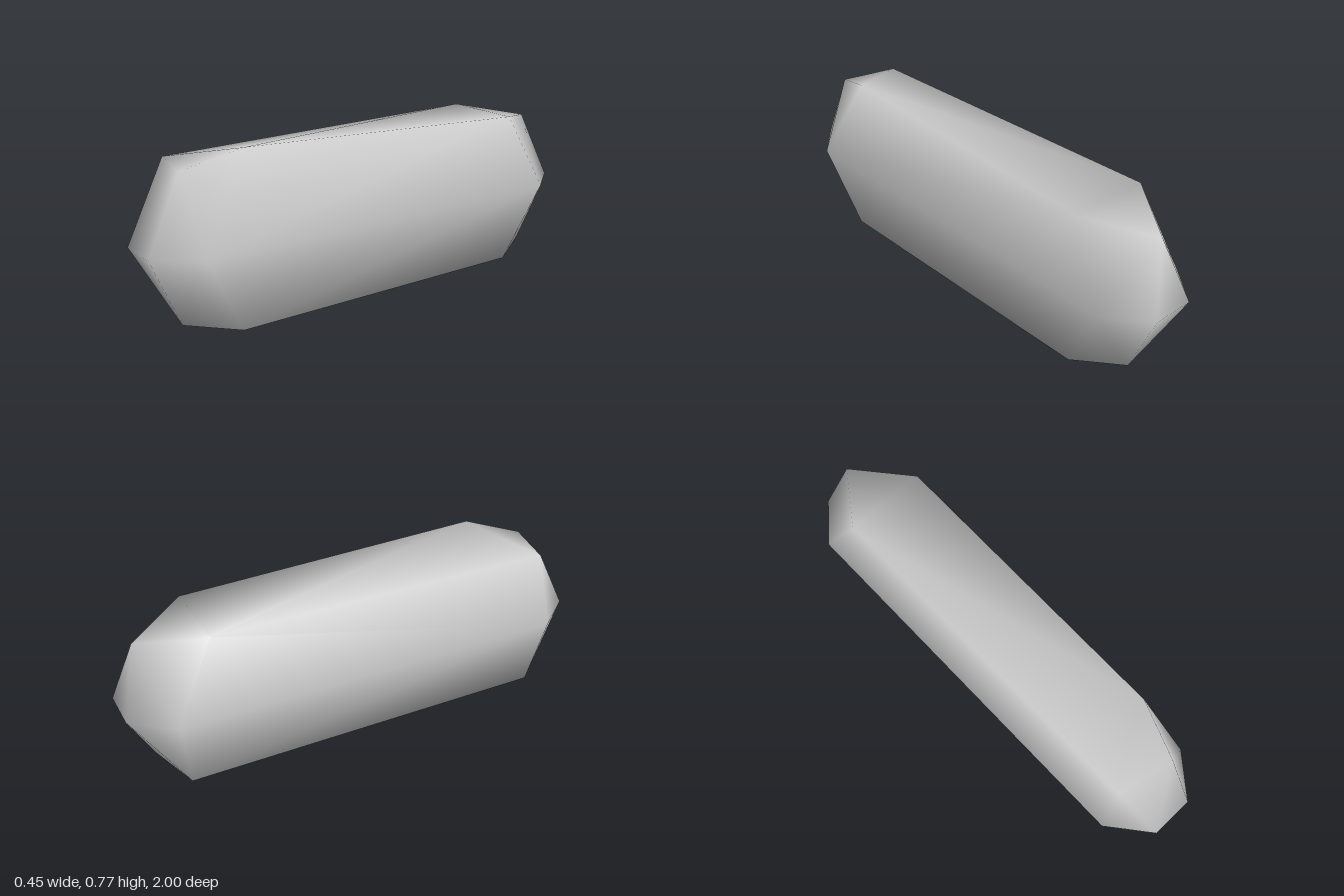
import * as THREE from 'three';
import { mergeVertices } from 'three/addons/utils/BufferGeometryUtils.js';
import { ConvexGeometry } from 'three/addons/geometries/ConvexGeometry.js';

export function createModel() {
  const group = new THREE.Group();
  group.name = 'capsule';
  const grey = new THREE.MeshStandardMaterial({ color: 0xcccccc });
  grey.name = 'plain grey';

  const points = [];
  const add = (x, y, z) => points.push(new THREE.Vector3(x, y, z));

  // Waist ring and end ridges, mirrored over both axes
  for (const sx of [-1, 1]) {
    for (const sz of [-1, 1]) {
      add(sx * 0.225, 0.395, sz * 0.835);
      add(sx * 0.09, 0.395, sz);
    }
  }

  // Underside: shallow keel point and lower corners at both ends
  add(0, 0, 0);
  for (const sz of [-1, 1]) {
    add(0.175, 0.07, sz * 0.67);
    add(-0.163, 0.088, sz * 0.79);
    add(0.06, 0.1, sz * 0.867);
  }

  // Top: uneven roof corners
  add(0.15, 0.77, 0.63);
  add(0.08, 0.7, 0.86);
  add(-0.157, 0.7, 0.81);
  add(0.175, 0.72, -0.67);
  add(-0.17, 0.72, -0.67);
  add(0, 0.67, -0.92);

  // Weld the hull so that its shading is smooth
  let shell = new ConvexGeometry(points);
  shell.deleteAttribute('normal');
  shell = mergeVertices(shell, 1e-4);
  shell.computeVertexNormals();

  const body = new THREE.Mesh(shell, grey);
  body.name = 'body';
  group.add(body);
  return group;
}
